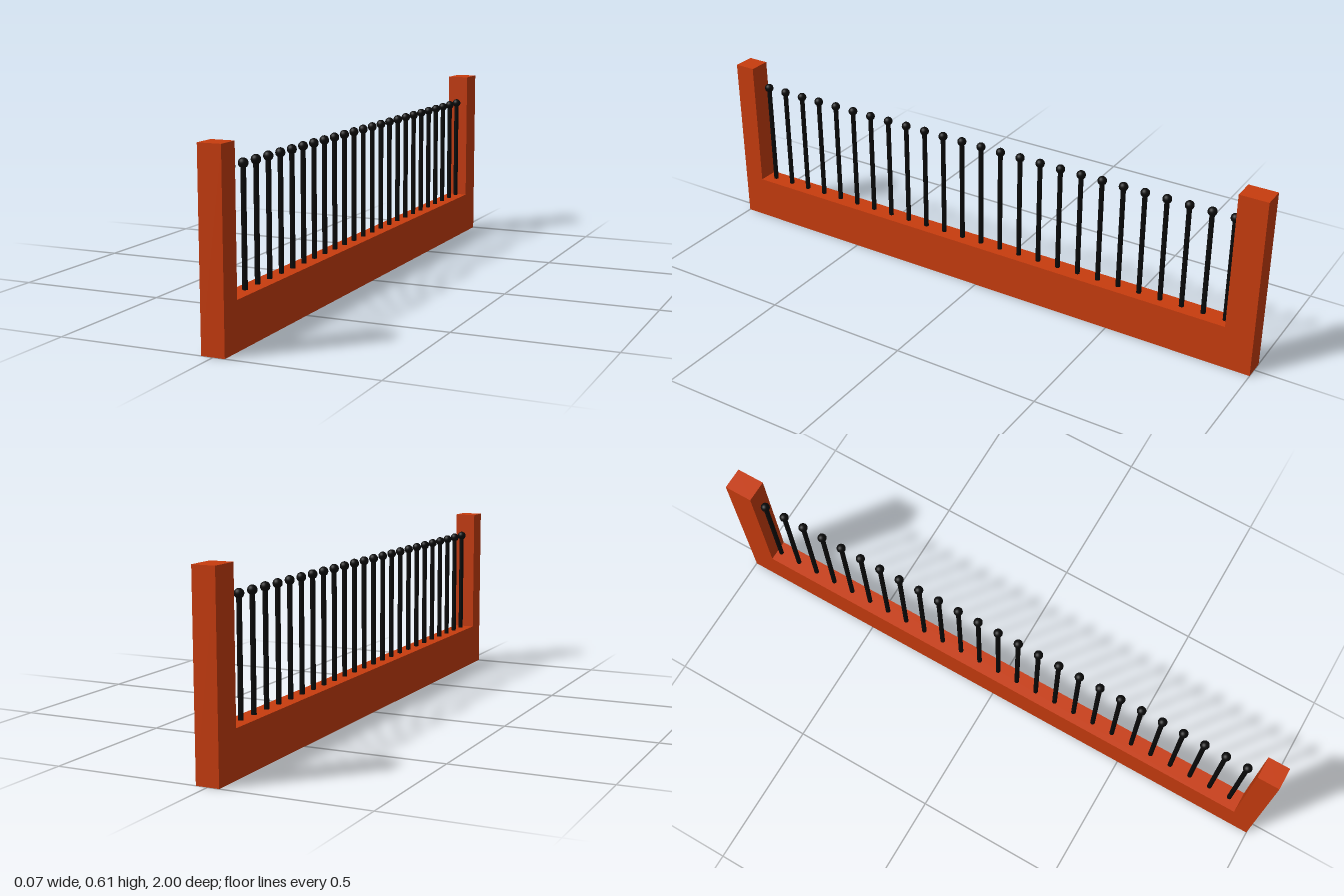
import * as THREE from 'three';

export function createModel() {
  const model = new THREE.Group();
  const wood = new THREE.MeshStandardMaterial({ color: 0xc83c0e });
  const iron = new THREE.MeshStandardMaterial({ color: 0x0a0a0a });
  const width = 0.074, baseTop = 0.148;

  // Frame: low wall with a post at each end, the rear one thicker and taller
  const outline = new THREE.Shape([
    [-1, 0], [1, 0], [1, 0.588], [0.927, 0.588],
    [0.927, baseTop], [-0.905, baseTop], [-0.905, 0.61], [-1, 0.61],
  ].map(([z, y]) => new THREE.Vector2(z, y)));
  const frameGeometry = new THREE.ExtrudeGeometry(outline, { depth: width, bevelEnabled: false });
  frameGeometry.translate(0, 0, -width / 2).rotateY(-Math.PI / 2);
  const frame = new THREE.Mesh(frameGeometry, wood);
  frame.name = 'frame';
  model.add(frame);

  // Railing: evenly spaced round bars, each topped by a ball
  const railing = new THREE.Group();
  railing.name = 'railing';
  const count = 25, reach = 0.89, barTop = 0.505;
  const barBottom = baseTop - 0.005;
  const barGeometry = new THREE.CylinderGeometry(0.008, 0.008, barTop - barBottom, 16);
  const ballGeometry = new THREE.SphereGeometry(0.015, 20, 14);
  for (let i = 0; i < count; i++) {
    const z = reach - (2 * reach * i) / (count - 1);
    const bar = new THREE.Mesh(barGeometry, iron);
    bar.name = 'bar';
    bar.position.set(0, (barTop + barBottom) / 2, z);
    const ball = new THREE.Mesh(ballGeometry, iron);
    ball.name = 'ballFinial';
    ball.position.set(0, 0.51, z);
    railing.add(bar, ball);
  }
  model.add(railing);
  return model;
}
